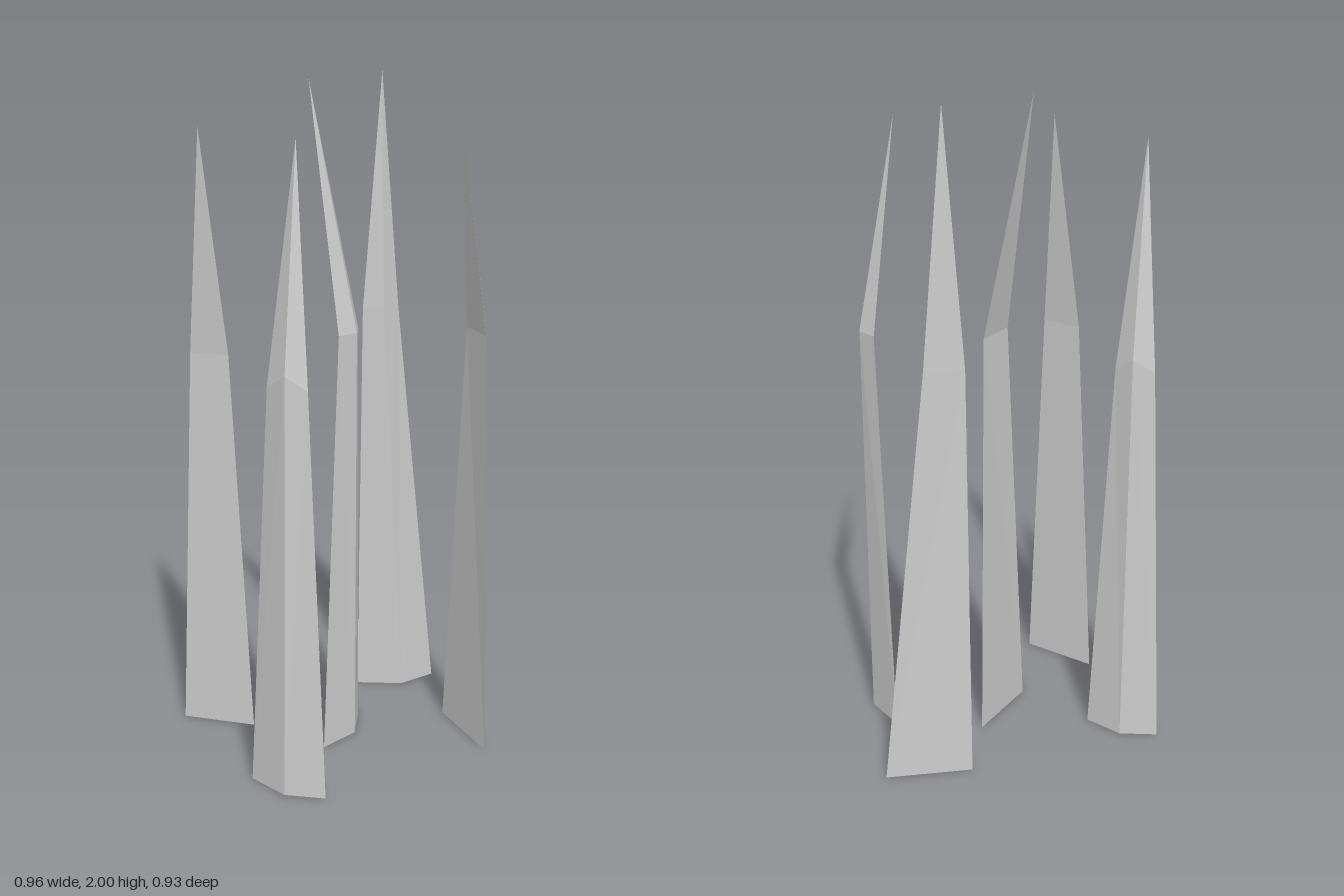
import * as THREE from 'three';

const material = new THREE.MeshStandardMaterial({ color: 0xcccccc, flatShading: true });

// A tapered three-sided shard: ground triangle, bend triangle, bent-over tip.
// Corners are [x, z]; order is first edge, second edge, ridge.
function makeShard({ name, base, bend, bendY, tip }) {
  const points = [
    ...base.map(([x, z]) => [x, 0, z]),
    ...bend.map(([x, z], i) => [x, bendY[i], z]),
    tip,
  ];
  const [a, b, c] = base;
  const turn = (b[0] - a[0]) * (c[1] - a[1]) - (b[1] - a[1]) * (c[0] - a[0]);

  const faces = [[0, 1, 2]]; // underside
  for (let i = 0; i < 3; i++) {
    const j = (i + 1) % 3;
    faces.push([i, i + 3, j], [j, i + 3, j + 3], [i + 3, 6, j + 3]);
  }
  if (turn < 0) faces.forEach((f) => f.reverse()); // keep faces outward

  const geometry = new THREE.BufferGeometry();
  geometry.setAttribute('position',
    new THREE.Float32BufferAttribute(faces.flat().flatMap((i) => points[i]), 3));
  geometry.computeVertexNormals();
  const mesh = new THREE.Mesh(geometry, material);
  mesh.name = name;
  return mesh;
}

const shards = [
  {
    name: 'rightShard',
    base: [[-0.48, 0.065], [-0.25, 0.065], [-0.37, 0.027]],
    bend: [[-0.43, 0.075], [-0.31, 0.075], [-0.37, 0.05]],
    bendY: [1.19, 1.19, 1.23],
    tip: [-0.37, 1.86, 0.13],
  },
  {
    name: 'frontShard',
    base: [[-0.14, 0.397], [0.1, 0.453], [-0.02, 0.466]],
    bend: [[-0.08, 0.403], [0.046, 0.431], [-0.016, 0.443]],
    bendY: [1.19, 1.19, 1.23],
    tip: [-0.005, 1.86, 0.365],
  },
  {
    name: 'centerShard',
    base: [[0.043, -0.102], [0.005, 0.15], [0.068, 0.027]],
    bend: [[0.055, -0.044], [0.033, 0.087], [0.07, 0.025]],
    bendY: [1.27, 1.27, 1.27],
    tip: [-0.086, 1.99, -0.015],
  },
  {
    name: 'leftShard',
    base: [[0.3, -0.185], [0.477, 0.028], [0.423, -0.105]],
    bend: [[0.36, -0.145], [0.441, -0.027], [0.423, -0.113]],
    bendY: [1.27, 1.27, 1.27],
    tip: [0.377, 1.885, 0.055],
  },
  {
    name: 'backShard',
    base: [[-0.022, -0.33], [0.2, -0.466], [0.12, -0.363]],
    bend: [[-0.005, -0.316], [0.093, -0.38], [0.06, -0.327]],
    bendY: [1.27, 1.27, 1.27],
    tip: [0.047, 2, -0.335],
  },
];

export function createModel() {
  const model = new THREE.Group();
  model.name = 'shardCluster';
  shards.forEach((shard) => model.add(makeShard(shard)));
  return model;
}
